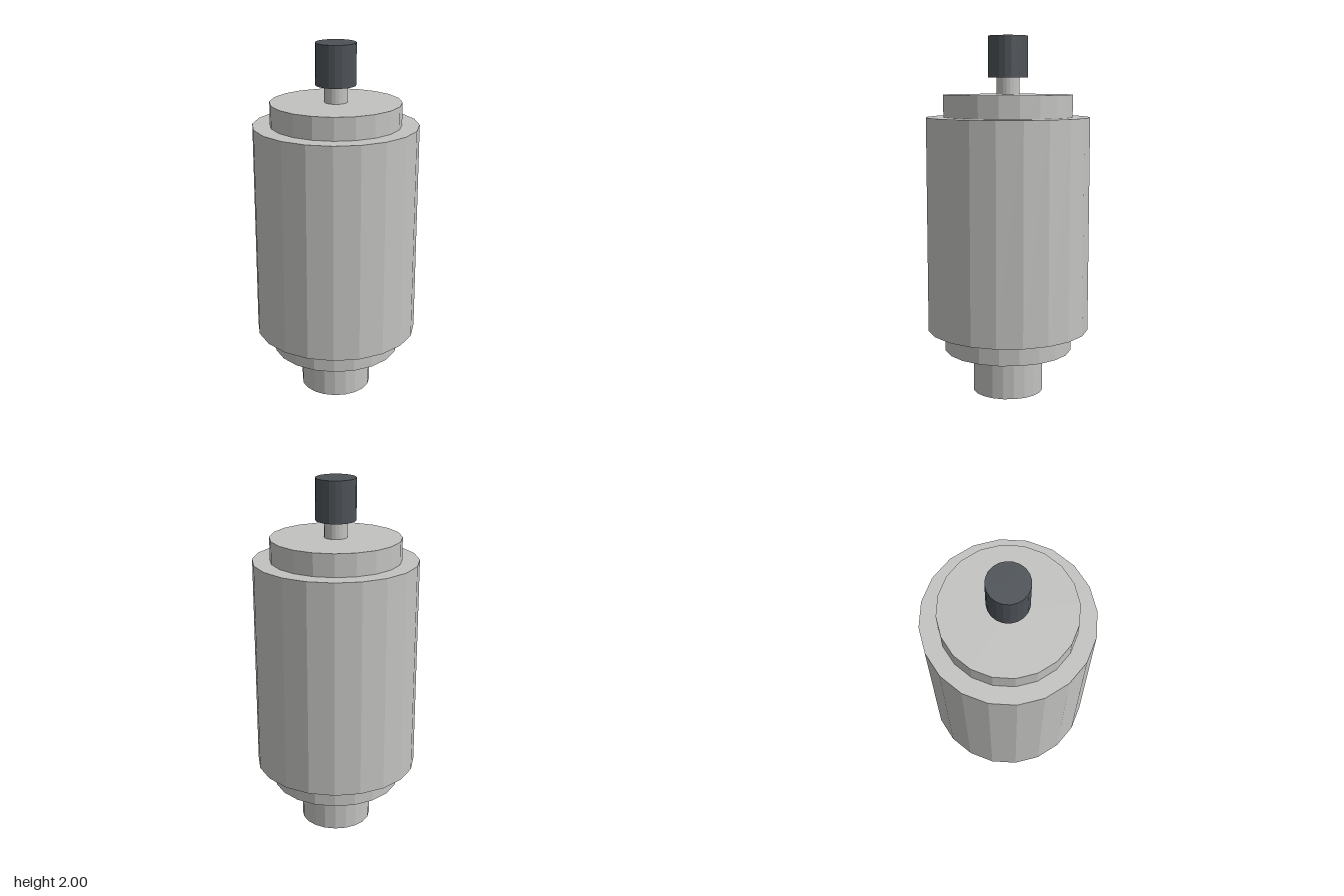
import * as THREE from 'three';

export function createModel() {
  const group = new THREE.Group();
  const metal = new THREE.MeshStandardMaterial({ color: 0xc2c2c0, flatShading: true });
  metal.name = 'brushed metal';
  const rubber = new THREE.MeshStandardMaterial({ color: 0x4d5257, flatShading: true });
  rubber.name = 'dark rubber';

  // upright cylinder between two heights
  function addCylinder(name, radius, bottom, top, material) {
    const geometry = new THREE.CylinderGeometry(radius, radius, top - bottom, 20);
    const mesh = new THREE.Mesh(geometry, material);
    mesh.name = name;
    mesh.position.y = (bottom + top) / 2;
    group.add(mesh);
  }

  // stepped housing
  addCylinder('mainBody', 0.452, 0.37, 1.56, metal);
  addCylinder('topCollar', 0.357, 1.56, 1.683, metal);
  addCylinder('bottomCollar', 0.357, 0.25, 0.37, metal);

  // lower boss with its contact disc
  addCylinder('bottomBoss', 0.197, 0.01, 0.25, metal);
  addCylinder('contactDisc', 0.125, 0, 0.01, metal);

  // shaft and cap on top
  addCylinder('shaft', 0.063, 1.683, 1.775, metal);
  addCylinder('shaftCap', 0.11, 1.775, 2, rubber);

  return group;
}
